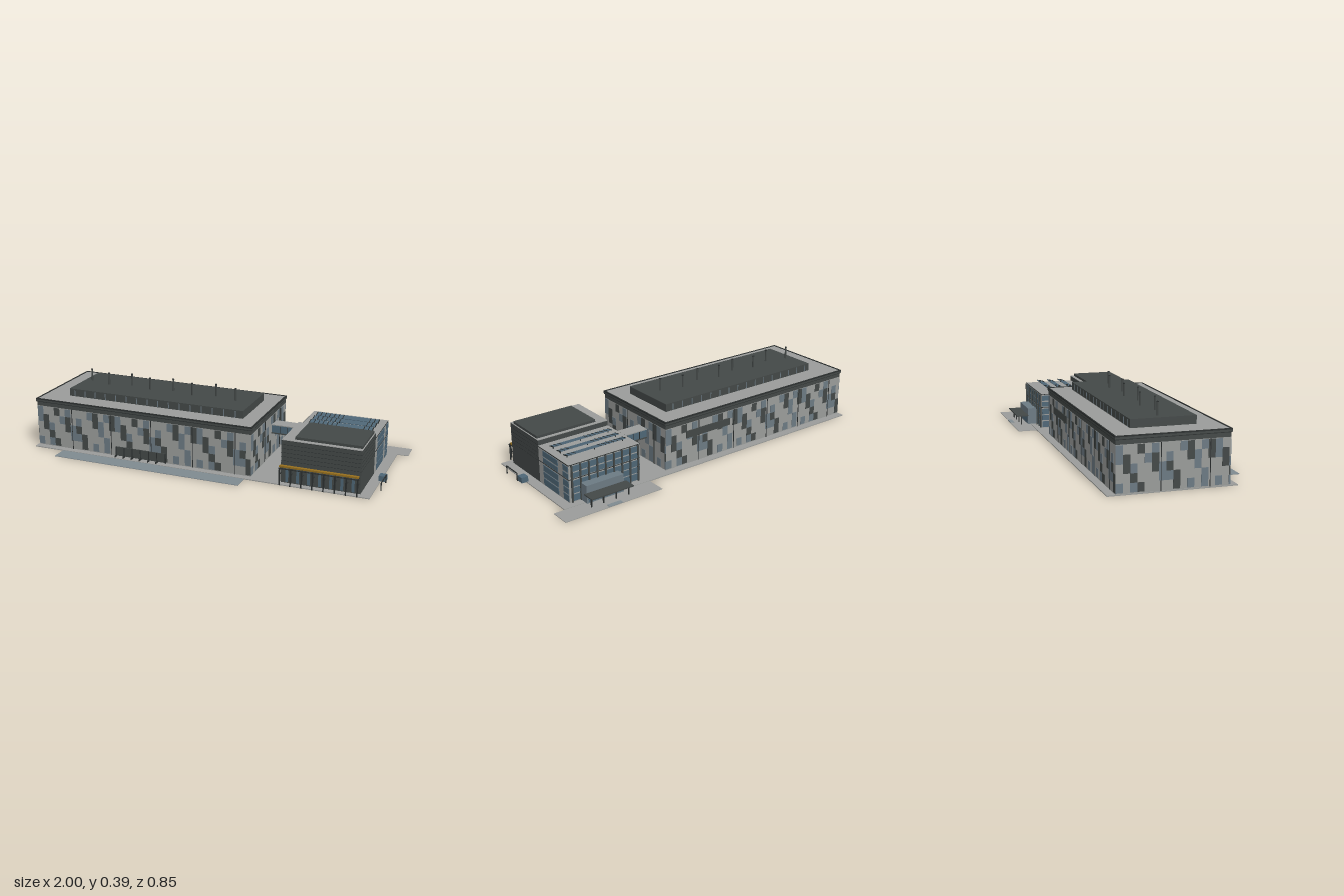
import * as THREE from 'three';
import { mergeGeometries } from 'three/addons/utils/BufferGeometryUtils.js';

export function createModel() {
  const model = new THREE.Group();
  const mat = (name, color) => {
    const m = new THREE.MeshStandardMaterial({ color });
    m.name = name;
    return m;
  };
  const stone = mat('light stone', 0x9a9c9a);
  const dark = mat('dark cladding', 0x434847);
  const trim = mat('black trim', 0x2b2f2f);
  const glass = mat('blue glass', 0x4e6676);
  const slate = mat('blue grey panel', 0x6c7a83);
  const paving = mat('blue grey paving', 0x7f8a90);
  const gold = mat('ochre band', 0x966f1e);

  // Box geometry given by its limits [x0, x1, y0, y1, z0, z1]
  const boxGeo = ([x0, x1, y0, y1, z0, z1]) =>
    new THREE.BoxGeometry(x1 - x0, y1 - y0, z1 - z0)
      .translate((x0 + x1) / 2, (y0 + y1) / 2, (z0 + z1) / 2);
  const addGeo = (name, material, geo) => {
    const mesh = new THREE.Mesh(geo, material);
    mesh.name = name;
    model.add(mesh);
  };
  const box = (name, material, ...limits) => addGeo(name, material, boxGeo(limits));
  const boxes = (name, material, list) => addGeo(name, material, mergeGeometries(list.map(boxGeo)));

  // Site
  box('groundSlab', stone, -1, 0.94, 0, 0.005, -0.32, 0.33);
  box('frontPaving', paving, -0.82, 0.27, 0, 0.003, 0.33, 0.42);
  box('rearPad', stone, 0.43, 1, 0, 0.003, -0.43, -0.32);

  // Main hall with its cornice and roof
  const M = { x0: -0.995, x1: 0.293, z0: -0.277, z1: 0.291 };
  box('mainHall', stone, M.x0, M.x1, 0.005, 0.238, M.z0, M.z1);
  box('corniceLower', dark, M.x0, M.x1, 0.238, 0.264, M.z0, M.z1);
  box('corniceUpper', dark, -1, 0.298, 0.264, 0.274, -0.282, 0.296);
  box('mainRoof', stone, -0.992, 0.29, 0.274, 0.277, -0.274, 0.288);
  boxes('parapet', trim, [
    [-1, 0.298, 0.274, 0.28, 0.288, 0.296], [-1, 0.298, 0.274, 0.28, -0.282, -0.274],
    [-1, -0.992, 0.274, 0.28, -0.274, 0.288], [0.29, 0.298, 0.274, 0.28, -0.274, 0.288],
  ]);
  boxes('corniceGap', trim, [[-0.998, 0.296, 0.26, 0.264, -0.28, 0.294]]);

  // Rainscreen pattern, one string per row from the top: D dark, B blue grey
  const pattern = [
    'B..D.B.', 'BD..BD.', '.DB..DB', '..D...B', 'B.BD...',
  ];
  const rowH = 0.225 / pattern.length;
  const moduleW = 0.245;
  const panels = { D: [], B: [], joint: [] };
  // place(u0, u1, y0, y1, depth) returns box limits for one face
  const faces = [
    [M.x1 - M.x0, (a, b, y0, y1, d) => [M.x0 + a, M.x0 + b, y0, y1, M.z1, M.z1 + d]],
    [M.x1 - M.x0, (a, b, y0, y1, d) => [M.x1 - b, M.x1 - a, y0, y1, M.z0 - d, M.z0]],
    [M.z1 - M.z0, (a, b, y0, y1, d) => [M.x1, M.x1 + d, y0, y1, M.z1 - b, M.z1 - a]],
    [M.z1 - M.z0, (a, b, y0, y1, d) => [M.x0 - d, M.x0, y0, y1, M.z0 + a, M.z0 + b]],
  ];
  faces.forEach(([length, place]) => {
    const w = moduleW / 7;
    for (let i = 0; i * w < length; i++) {
      pattern.forEach((row, r) => {
        // alternate modules drop one row so the mosaic does not look stamped
        const shift = Math.floor(i / 7) % 2;
        const key = pattern[(r + shift) % 5][(i + shift * 2) % 7];
        const y1 = 0.235 - r * rowH;
        if (panels[key]) panels[key].push(place(i * w, Math.min((i + 1) * w, length), y1 - rowH, y1, 0.002));
      });
    }
    for (let u = moduleW - 0.025; u < length; u += moduleW)
      panels.joint.push(place(u - 0.0015, u + 0.0015, 0.005, 0.238, 0.003));
  });
  boxes('darkPanels', dark, panels.D);
  boxes('bluePanels', slate, panels.B);
  boxes('panelJoints', trim, panels.joint);

  // Entrance strip at the front, louvre strip at the rear
  box('entranceStrip', dark, -0.5, -0.2, 0.008, 0.06, M.z1, M.z1 + 0.006);
  box('rearLouvre', dark, -0.14, 0.16, 0.155, 0.195, M.z0 - 0.006, M.z0);
  const mullions = [];
  for (let i = 0; i <= 6; i++) {
    const x = -0.5 + i * 0.05;
    mullions.push([x - 0.002, x + 0.002, 0.005, 0.06, M.z1, M.z1 + 0.009]);
    if (i < 6) mullions.push([x + 0.003, x + 0.006, 0.005, 0.016, 0.297, 0.325]);
  }
  boxes('entranceMullions', trim, mullions);

  // Rooftop plant room with ribs and flues
  box('plantRoom', dark, -0.85, 0.203, 0.277, 0.32, -0.16, 0.175);
  const ribs = [];
  for (let x = -0.82; x < 0.2; x += 0.065)
    ribs.push([x, x + 0.005, 0.28, 0.314, 0.175, 0.177], [x, x + 0.005, 0.28, 0.314, -0.162, -0.16]);
  boxes('plantRoomRibs', slate, ribs);
  const flues = [], flueCaps = [];
  for (let i = 0; i < 8; i++) {
    const x = -0.805 + i * 0.1297, z = i % 2 ? 0.025 : -0.008;
    flues.push(new THREE.CylinderGeometry(0.005, 0.005, 0.066, 10).translate(x, 0.353, z));
    flueCaps.push(new THREE.CylinderGeometry(0.006, 0.006, 0.004, 10).translate(x, 0.388, z));
  }
  addGeo('flues', dark, mergeGeometries(flues));
  addGeo('flueCaps', trim, mergeGeometries(flueCaps));

  // Link bridge between the buildings
  box('bridgeGlass', glass, 0.293, 0.465, 0.14, 0.182, -0.108, -0.042);
  box('bridgeRoof', stone, 0.293, 0.465, 0.182, 0.187, -0.112, -0.038);
  box('bridgeFloor', dark, 0.293, 0.465, 0.134, 0.14, -0.112, -0.038);
  boxes('bridgeMullions', trim, [0.34, 0.38, 0.42].map((x) => [x, x + 0.003, 0.14, 0.182, -0.11, -0.04]));

  // Annex, dark front wing
  box('frontWing', dark, 0.463, 0.885, 0.005, 0.237, 0.01, 0.297);
  box('frontWingRoof', stone, 0.463, 0.885, 0.237, 0.24, 0.01, 0.297);
  box('frontWingRoofHatch', dark, 0.527, 0.88, 0.24, 0.254, 0.03, 0.272);
  const seams = [];
  for (let y = 0.125; y < 0.235; y += 0.022) seams.push([0.462, 0.886, y, y + 0.0015, 0.012, 0.298]);
  boxes('claddingSeams', trim, seams);
  const shopGlass = [], posts = [];
  for (let i = 0; i < 7; i++) {
    const x = 0.468 + i * 0.0585;
    shopGlass.push([x + 0.02, x + 0.035, 0.01, 0.09, 0.297, 0.299]);
  }
  for (let i = 0; i < 8; i++) {
    const x = 0.468 + i * 0.0585;
    posts.push([x - 0.003, x + 0.003, 0.004, 0.1, 0.335, 0.341]);
    posts.push([x - 0.0015, x + 0.0015, 0.022, 0.1, 0.322, 0.326]);
    posts.push([x - 0.002, x + 0.002, 0.094, 0.098, 0.297, 0.341]);
    posts.push([x - 0.0015, x + 0.0015, 0.06, 0.063, 0.297, 0.326]);
  }
  posts.push([0.463, 0.885, 0.095, 0.099, 0.335, 0.341]);
  boxes('groundFloorGlass', glass, shopGlass);
  boxes('canopyFrame', trim, posts);
  box('canopyBand', gold, 0.463, 0.88, 0.1, 0.109, 0.312, 0.33);

  // Annex, light rear wing with glazing
  box('rearWing', stone, 0.463, 0.885, 0.005, 0.21, -0.28, 0.01);
  const glazing = [], fins = [];
  for (const [y0, y1] of [[0.01, 0.045], [0.052, 0.082], [0.088, 0.121], [0.135, 0.162], [0.17, 0.2]]) {
    for (const [z0, z1] of [[-0.181, -0.037], [-0.278, -0.229]])
      glazing.push([0.885, 0.888, y0, y1, z0, z1], [0.46, 0.463, y0, y1, z0, z1]);
    glazing.push([0.475, 0.873, y0, y1, -0.283, -0.28]);
  }
  for (let i = 0; i <= 8; i++) {
    const x = 0.475 + i * 0.0493;
    fins.push([x - 0.004, x + 0.004, 0.005, 0.205, -0.288, -0.28]);
  }
  boxes('rearWingGlass', glass, glazing);
  boxes('rearFins', dark, fins);
  boxes('rearWingTrim', trim, [
    [0.461, 0.887, 0.128, 0.131, -0.282, 0.008], [0.461, 0.887, 0.206, 0.209, -0.282, 0.008],
  ]);

  // Tilted rooflights on the rear wing
  for (const z of [-0.2, -0.136, -0.068]) {
    const light = new THREE.Group();
    light.name = 'rooflight';
    const pane = new THREE.Mesh(new THREE.BoxGeometry(0.35, 0.003, 0.038), glass);
    pane.name = 'rooflightPane';
    const bars = [];
    for (const x of [-0.175, -0.15, -0.125, -0.1, -0.075, -0.05, -0.025, 0.125, 0.15, 0.172])
      bars.push(boxGeo([x, x + 0.004, -0.002, 0.003, -0.019, 0.019]));
    const frame = new THREE.Mesh(mergeGeometries(bars), trim);
    frame.name = 'rooflightBars';
    light.add(pane, frame);
    light.position.set(0.676, 0.224, z);
    light.rotation.x = 0.2;
    model.add(light);
    boxes('rooflightStands', trim, [0.51, 0.68, 0.84].map((x) => [x, x + 0.004, 0.21, 0.223, z - 0.002, z + 0.002]));
  }

  // Rear lobby and canopy
  box('rearLobby', slate, 0.6, 0.82, 0.003, 0.1, -0.335, -0.28);
  box('rearLobbyGlass', glass, 0.61, 0.81, 0.01, 0.05, -0.337, -0.335);
  box('rearCanopy', dark, 0.587, 0.835, 0.055, 0.061, -0.405, -0.335);
  boxes('rearCanopyPosts', trim, [0.6, 0.675, 0.75, 0.82].map((x) => [x - 0.003, x + 0.003, 0.003, 0.055, -0.379, -0.373]));
  box('rearStep', paving, 0.67, 0.75, 0.003, 0.005, -0.43, -0.405);

  // Gate booth and barrier
  box('gateBooth', glass, 0.93, 0.968, 0.004, 0.034, 0.053, 0.095);
  boxes('gateBarrier', trim, [
    [0.967, 0.972, 0.043, 0.047, 0.095, 0.21], [0.967, 0.972, 0.002, 0.047, 0.206, 0.21],
    [0.967, 0.972, 0.002, 0.047, 0.095, 0.1],
  ]);
  return model;
}
